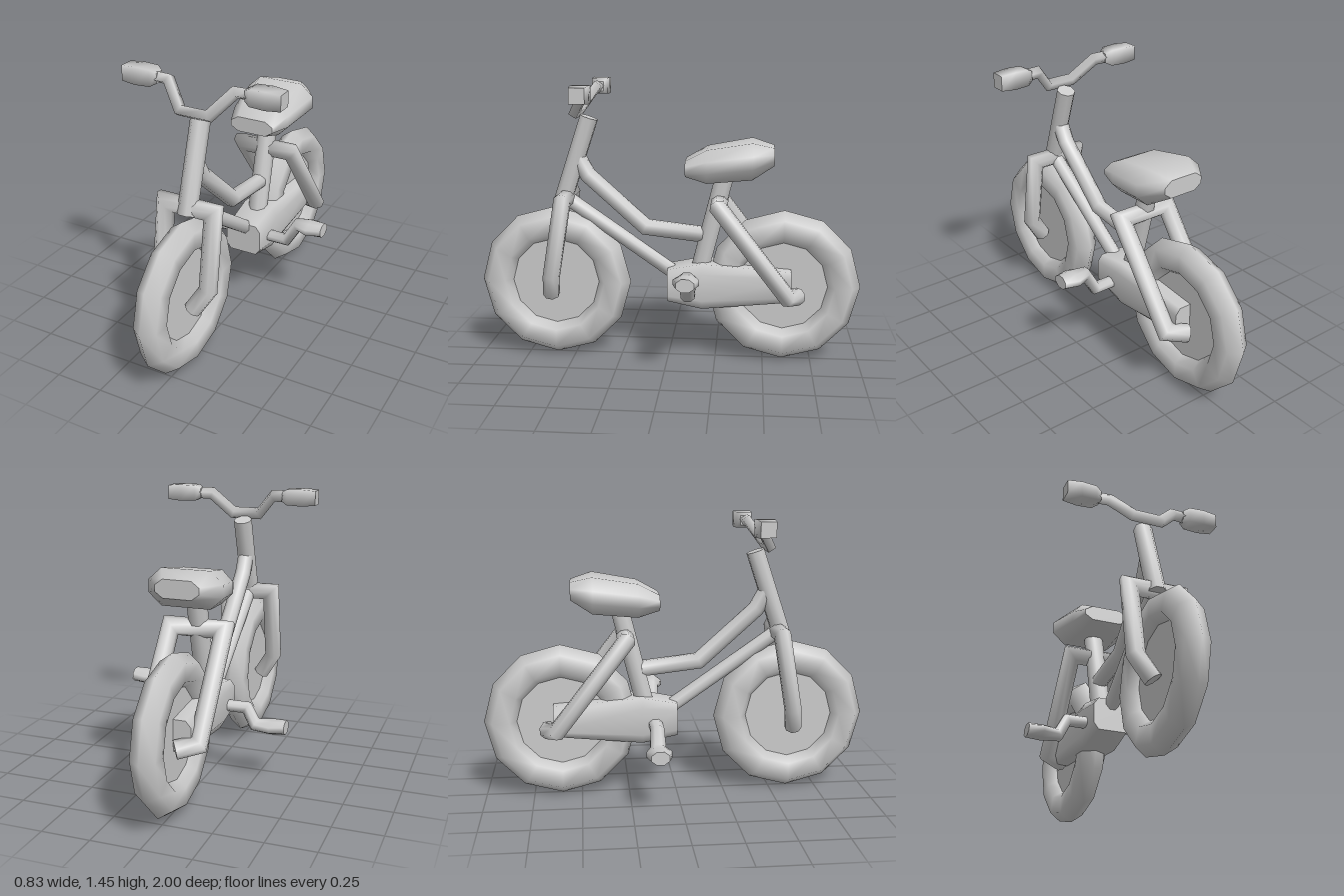
import * as THREE from 'three';

const material = new THREE.MeshStandardMaterial({ color: 0xcccccc });
const V = (x, y, z) => new THREE.Vector3(x, y, z);

// Skin a list of rings (each wound counter-clockwise about the path) and cap both ends
function loft(rings) {
  const n = rings[0].length, m = rings.length, pos = [], idx = [];
  rings.forEach(r => r.forEach(p => pos.push(p.x, p.y, p.z)));
  for (let i = 0; i < m - 1; i++) {
    for (let j = 0; j < n; j++) {
      const a = i * n + j, b = i * n + (j + 1) % n;
      idx.push(a, b, a + n, b, b + n, a + n);
    }
  }
  [rings[0], rings[m - 1]].forEach((ring, end) => {
    const base = pos.length / 3;
    ring.forEach(p => pos.push(p.x, p.y, p.z));
    for (let j = 1; j < n - 1; j++) {
      if (end) idx.push(base, base + j, base + j + 1);
      else idx.push(base, base + j + 1, base + j);
    }
  });
  const g = new THREE.BufferGeometry();
  g.setAttribute('position', new THREE.Float32BufferAttribute(pos, 3));
  g.setIndex(idx);
  g.computeVertexNormals();
  return g;
}

// Mitred tube along points; sizes are [along plane normal, in plane] half widths
function sweep(points, sizes, normal, sides = 8) {
  const last = points.length - 1;
  return loft(points.map((p, i) => {
    const d0 = points[Math.max(i, 1)].clone().sub(points[Math.max(i, 1) - 1]).normalize();
    const k = Math.min(i, last - 1);
    const d1 = points[k + 1].clone().sub(points[k]).normalize();
    const t = d0.clone().add(d1).normalize();
    const n = normal.clone().addScaledVector(t, -normal.dot(t)).normalize();
    const b = t.clone().cross(n);
    const [rn, rb] = Array.isArray(sizes) ? sizes[i] : [sizes, sizes];
    const mitre = 1 / Math.max(t.dot(d1), 0.6), f = 1 / Math.cos(Math.PI / sides);
    return Array.from({ length: sides }, (_, j) => {
      const a = (j + 0.5) / sides * Math.PI * 2;
      return p.clone().addScaledVector(n, Math.cos(a) * rn * f)
        .addScaledVector(b, Math.sin(a) * rb * f * mitre);
    });
  }));
}

// Chamfered sections running backwards: [z, half width, bottom, top]
function body(sections, kx, ky) {
  const outline = [[1, ky], [1, -ky], [kx, -1], [-kx, -1], [-1, -ky], [-1, ky], [-kx, 1], [kx, 1]];
  return loft(sections.map(([z, w, y0, y1]) =>
    outline.map(([u, v]) => V(u * w, (y0 + y1) / 2 + v * (y1 - y0) / 2, z))));
}

export function createModel() {
  const model = new THREE.Group();
  model.name = 'bicycle';
  const X = V(1, 0, 0), Z = V(0, 0, 1);
  const add = (name, geometry, parent = model) => {
    const mesh = new THREE.Mesh(geometry, material);
    mesh.name = name;
    parent.add(mesh);
    return mesh;
  };

  // Wheels: six-sided tyre and a solid disc
  for (const [name, z] of [['frontWheel', 0.6], ['rearWheel', -0.6]]) {
    const wheel = new THREE.Group();
    wheel.name = name;
    wheel.position.set(0, 0.4, z);
    wheel.rotation.y = Math.PI / 2;
    add('tyre', new THREE.TorusGeometry(0.31, 0.09, 6, 12), wheel).scale.z = 0.81;
    add('wheelDisc', new THREE.CylinderGeometry(0.25, 0.25, 0.03, 12).rotateX(Math.PI / 2), wheel);
    model.add(wheel);
  }

  // Frame tubes
  add('headTube', sweep([V(0, 1.27, 0.41), V(0, 0.82, 0.56)], 0.045, X));
  add('topTube', sweep([V(0, 1.07, 0.475), V(0, 0.97, 0.42), V(0, 0.7, 0.12), V(0, 0.665, -0.18)], 0.04, X));
  add('downTube', sweep([V(0, 0.86, 0.55), V(0, 0.45, -0.04)], 0.035, X));
  add('seatTube', sweep([V(0, 1.02, -0.3), V(0, 0.42, -0.15)], 0.047, X));

  // Chain case around the crank and rear hub
  add('chainCase', body([
    [0, 0.1, 0.32, 0.49], [-0.18, 0.11, 0.285, 0.525], [-0.64, 0.105, 0.33, 0.49],
  ], 0.75, 0.6));

  // Saddle
  add('seat', body([
    [-0.09, 0.12, 0.98, 1.06], [-0.2, 0.155, 0.95, 1.12],
    [-0.43, 0.19, 0.975, 1.16], [-0.54, 0.11, 1.04, 1.13],
  ], 0.65, 0.35));

  // Handlebar and forks, both sides in one run
  const bothSides = pts => [
    ...pts.slice().reverse().map(p => V(-p[0], p[1], p[2])),
    ...pts.map(p => V(...p)),
  ];
  add('handlebar', sweep(bothSides([
    [0.075, 1.3, 0.47], [0.175, 1.41, 0.4], [0.26, 1.41, 0.395],
  ]), 0.022, V(0, 0.53, 0.85), 4));
  add('frontFork', sweep(bothSides([
    [0.13, 0.85, 0.535], [0.13, 0.46, 0.6], [0.055, 0.34, 0.62],
  ]), 0.042, V(0, 0.16, 1)));
  const stays = add('rearStays', sweep(bothSides([
    [0.14, 0.835, -0.265], [0.14, 0.375, -0.62], [0.045, 0.355, -0.675],
  ]), 0.043, V(0, 0.61, -0.79)));
  stays.position.x = 0.007;

  for (const s of [1, -1]) {
    const side = s > 0 ? 'left' : 'right';
    // Bulging square grips
    const grip = [[0.23, 0.025], [0.26, 0.041], [0.34, 0.044], [0.415, 0.038]];
    add(side + 'Grip', sweep(grip.map(([x]) => V(s * x, 1.41, 0.395)),
      grip.map(([, r]) => [r, r]), Z, 4));

    // Crank arm flaring into its pedal, one up and one down
    const y = s > 0 ? 0.5 : 0.305;
    const bend = s > 0 ? 0.27 : 0.25;
    const path = [[0, 0.39], [0.205, 0.39], [bend, y], [0.34, y], [0.415, y + 0.003]];
    add(side + 'Crank', sweep(path.map(([x, py]) => V(s * x, py, -0.115)),
      [[0.035, 0.027], [0.035, 0.027], [0.04, 0.028], [0.065, 0.033], [0.045, 0.033]], Z, 8));
  }
  return model;
}
